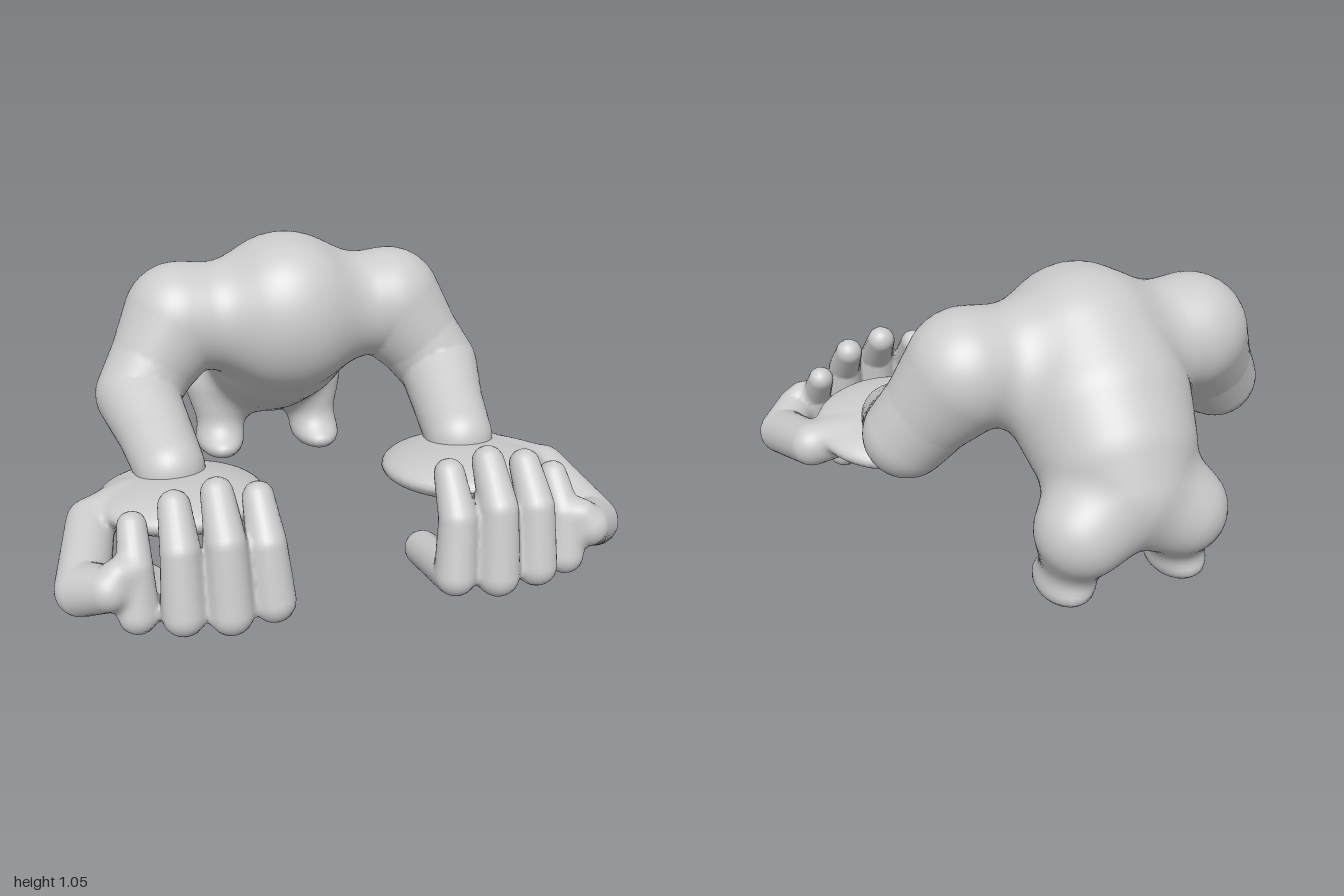
import * as THREE from 'three';

const material = new THREE.MeshStandardMaterial({ color: 0xcccccc });

// Joint list [x, y, z, radius] on one side
const mirror = (joints, side) => joints.map(([x, y, z, r]) => [x * side, y, z, r]);

// Distance to a chain of tapered segments with round ends
const chain = joints => (px, py, pz) => {
  let best = Infinity;
  for (let i = 1; i < joints.length; i++) {
    const [ax, ay, az, ra] = joints[i - 1], [bx, by, bz, rb] = joints[i];
    const dx = bx - ax, dy = by - ay, dz = bz - az;
    const x = px - ax, y = py - ay, z = pz - az;
    const d = Math.hypot(dx, dy, dz);
    const along = (x * dx + y * dy + z * dz) / d;
    const across = Math.sqrt(Math.max(0, x * x + y * y + z * z - along * along));
    const lean = (ra - rb) / Math.sqrt(d * d - (ra - rb) ** 2);
    const t = Math.min(1, Math.max(0, (along - across * lean) / d));
    best = Math.min(best, Math.hypot(x - t * dx, y - t * dy, z - t * dz) - ra - t * (rb - ra));
  }
  return best;
};

// Distance to an ellipsoid, rising toward the front by slope
const egg = ([cx, cy, cz], [rx, ry, rz], slope = 0) => (x, y, z) => {
  const u = (x - cx) / rx, v = (y - cy - slope * (z - cz)) / ry, w = (z - cz) / rz;
  const k = Math.hypot(u, v, w);
  return k * (k - 1) / (Math.hypot(u / rx, v / ry, w / rz) + 1e-9);
};

// Smooth union of two distances
const blend = (a, b, k) => {
  const h = Math.max(k - Math.abs(a - b), 0) / k;
  return Math.min(a, b) - h * h * k / 4;
};

// One smooth skin over all forms, cut into a named mesh per form
function skin(parent, forms, k, low, high, step) {
  const field = (x, y, z) => forms.reduce((d, f) => blend(d, f.distance(x, y, z), k), 10);
  const [nx, ny, nz] = low.map((v, i) => Math.ceil((high[i] - v) / step) + 1);
  const strides = [1, nx, nx * ny];
  const values = new Float32Array(nx * ny * nz);
  const eachCell = visit => {
    for (let c = 0, z = 0; z < nz; z++) for (let y = 0; y < ny; y++) for (let x = 0; x < nx; x++) visit(c++, [x, y, z]);
  };
  eachCell((c, g) => { values[c] = field(...g.map((v, i) => low[i] + v * step)); });

  // A point in every cell the surface crosses
  const ids = new Int32Array(values.length).fill(-1);
  const positions = [], normals = [], owners = [];
  eachCell((c, g) => {
    if (g[0] === nx - 1 || g[1] === ny - 1 || g[2] === nz - 1) return;
    const corner = i => values[c + (i & 1) + (i >> 1 & 1) * strides[1] + (i >> 2) * strides[2]];
    const sum = [0, 0, 0];
    let hits = 0;
    for (let i = 0; i < 8; i++) for (let a = 0; a < 3; a++) {
      if (i >> a & 1) continue;
      const p = corner(i), q = corner(i | 1 << a);
      if (p < 0 === q < 0) continue;
      hits++;
      for (let b = 0; b < 3; b++) sum[b] += b === a ? p / (p - q) : i >> b & 1;
    }
    if (!hits) return;
    const point = sum.map((s, i) => low[i] + (g[i] + s / hits) * step);
    const [x, y, z] = point, e = 0.006;
    const normal = new THREE.Vector3(
      field(x + e, y, z) - field(x - e, y, z),
      field(x, y + e, z) - field(x, y - e, z),
      field(x, y, z + e) - field(x, y, z - e)).normalize();
    const near = forms.map(f => f.distance(x, y, z));
    ids[c] = owners.length;
    owners.push(near.indexOf(Math.min(...near)));
    positions.push(...point);
    normals.push(...normal.toArray());
  });

  // A quad around every crossed grid edge
  const faces = forms.map(() => []);
  eachCell((c, g) => {
    for (let a = 0; a < 3; a++) {
      const u = strides[(a + 1) % 3], v = strides[(a + 2) % 3];
      const inside = values[c] < 0;
      if (!g[(a + 1) % 3] || !g[(a + 2) % 3] || inside === values[c + strides[a]] < 0) continue;
      const quad = [c - u - v, c - v, c, c - u].map(i => ids[i]);
      if (quad.some(i => !(i >= 0))) continue;
      if (!inside) quad.reverse();
      const [p, q, r, s] = quad;
      faces[owners[p]].push(p, q, r, p, r, s);
    }
  });
  const position = new THREE.Float32BufferAttribute(positions, 3);
  const normal = new THREE.Float32BufferAttribute(normals, 3);
  forms.forEach((form, i) => {
    const geometry = new THREE.BufferGeometry();
    geometry.setAttribute('position', position);
    geometry.setAttribute('normal', normal);
    geometry.setIndex(faces[i]);
    const mesh = new THREE.Mesh(geometry, material);
    mesh.name = form.name;
    parent.add(mesh);
  });
}

export function createModel() {
  const model = new THREE.Group();
  model.name = 'crouchingFigure';

  // Torso leaning back and down to the rump, with a rounded head in front
  const trunk = chain([[0, 0.74, -0.31, 0.313], [0, 0.62, -0.46, 0.314], [0, 0.52, -0.57, 0.284], [0, 0.42, -0.66, 0.235]]);
  const head = egg([0, 0.75, -0.21], [0.27, 0.285, 0.21]);
  const forms = [{ name: 'torso', distance: (x, y, z) => blend(trunk(x, y, z), head(x, y, z), 0.03) }];

  // Fingers: base, knuckle, middle joint and tip
  const fingers = [
    [[0.3, 0.085, 0.52, 0.065], [0.312, 0.135, 0.8, 0.072], [0.325, 0.325, 0.765, 0.064], [0.33, 0.445, 0.66, 0.053]],
    [[0.44, 0.083, 0.52, 0.067], [0.458, 0.125, 0.82, 0.074], [0.463, 0.355, 0.785, 0.066], [0.466, 0.477, 0.665, 0.055]],
    [[0.575, 0.083, 0.52, 0.066], [0.607, 0.13, 0.8, 0.072], [0.607, 0.335, 0.765, 0.064], [0.605, 0.447, 0.66, 0.054]],
    [[0.69, 0.09, 0.5, 0.064], [0.745, 0.115, 0.735, 0.067], [0.743, 0.265, 0.705, 0.058], [0.738, 0.37, 0.615, 0.05]],
  ];

  for (const side of [1, -1]) {
    const word = side > 0 ? 'left' : 'right';

    // Arm through shoulder, elbow and wrist
    const arm = chain(mirror([
      [0.2, 0.745, -0.3, 0.2], [0.42, 0.753, -0.3, 0.215], [0.53, 0.61, -0.245, 0.17],
      [0.61, 0.495, -0.195, 0.157], [0.575, 0.425, 0.01, 0.137], [0.55, 0.36, 0.2, 0.127],
    ], side));

    // Short leg with a flared foot
    const leg = chain(mirror([[0.18, 0.31, -0.725, 0.165], [0.205, 0.14, -0.66, 0.09]], side));
    const foot = egg([0.215 * side, 0.065, -0.635], [0.095, 0.06, 0.15]);
    forms.push(
      { name: word + 'Arm', distance: arm },
      { name: word + 'Leg', distance: leg },
      { name: word + 'Foot', distance: foot });

    // Hand with a flat round palm, thumb and four curled fingers
    const hand = new THREE.Group();
    hand.name = word + 'Hand';
    model.add(hand);
    const thumb = chain(mirror([
      [0.72, 0.28, 0.26, 0.065], [0.85, 0.245, 0.32, 0.085], [0.91, 0.165, 0.62, 0.091],
      [0.83, 0.215, 0.725, 0.075], [0.8, 0.26, 0.725, 0.056],
    ], side));
    const parts = [
      { name: 'palm', distance: egg([0.53 * side, 0.29, 0.295], [0.3, 0.084, 0.305], 0.1) },
      { name: 'thumb', distance: thumb },
      ...fingers.map((joints, i) => ({ name: 'finger' + (i + 1), distance: chain(mirror(joints, side)) })),
    ];
    const centre = 0.615 * side;
    skin(hand, parts, 0.03, [centre - 0.42, -0.03, -0.06], [centre + 0.42, 0.58, 0.95], 0.016);
  }
  skin(model, forms, 0.08, [-0.82, -0.05, -0.98], [0.82, 1.12, 0.38], 0.02);
  return model;
}
